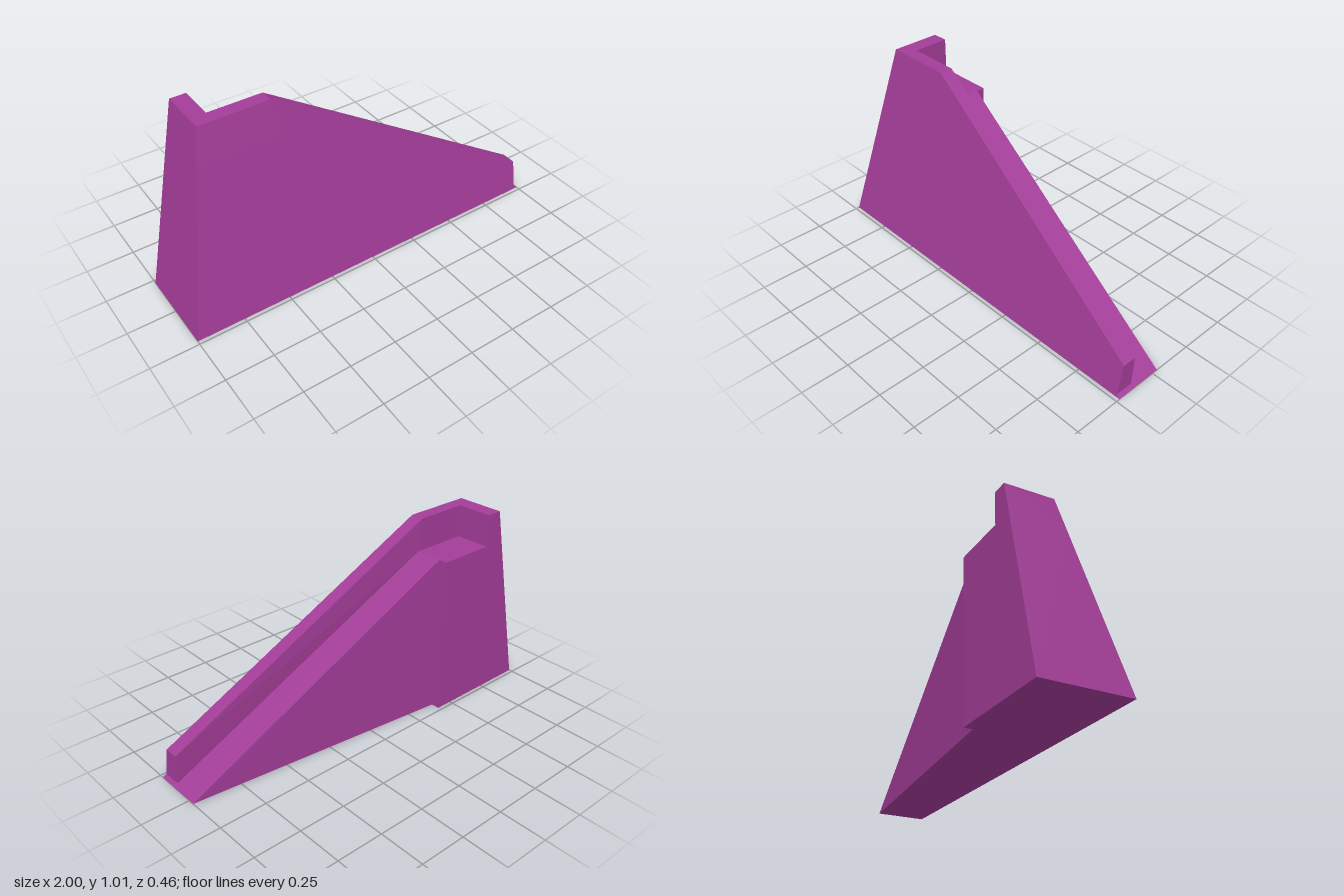
import * as THREE from 'three';
import { ConvexGeometry } from 'three/addons/geometries/ConvexGeometry.js';

// Key heights and stations of the ramped wall
const TOP = 1.015, DECK = 0.845, BACK = -0.23, INNER = -0.04;
const TOWER_X = -0.41, PEAK_X = -0.43, MERLON_X = -0.71, END_X = 0.98;

// Battered (leaning) outer planes: front z and left-hand x at height y
const frontZ = (y) => 0.23 - (0.2 * y) / TOP;
const sideX = (y) => -1 + (0.207 * y) / TOP;

export function createModel() {
  const group = new THREE.Group();
  const purple = new THREE.MeshStandardMaterial({ color: 0xa23c97 });

  const addSolid = (name, corners) => {
    const geometry = new ConvexGeometry(corners.map((c) => new THREE.Vector3(...c)));
    const mesh = new THREE.Mesh(geometry, purple);
    mesh.name = name;
    group.add(mesh);
  };

  // Section spanning front batter to a back z, at a given x and y
  const rib = (x, y, back) => [[x, y, frontZ(y)], [x, y, back]];

  // Tower block carrying the flat platform
  addSolid('towerBase', [
    ...rib(sideX(0), 0, BACK), ...rib(TOWER_X, 0, BACK),
    ...rib(sideX(DECK), DECK, BACK), ...rib(TOWER_X, DECK, BACK),
  ]);

  // Sloping wing tapering to the ground
  addSolid('slopingWing', [
    ...rib(TOWER_X, 0, -0.185), ...rib(TOWER_X, DECK, -0.185), ...rib(1, 0, -0.032),
  ]);

  // Side wall along the platform
  addSolid('sideParapet', [
    ...rib(sideX(DECK), DECK, BACK), ...rib(MERLON_X, DECK, BACK),
    ...rib(sideX(TOP), TOP, BACK), ...rib(MERLON_X, TOP, BACK),
  ]);

  // Front wall of the platform
  addSolid('frontParapet', [
    ...rib(MERLON_X, DECK, INNER), ...rib(TOWER_X, DECK, INNER),
    ...rib(MERLON_X, TOP, INNER), ...rib(PEAK_X, TOP, INNER),
  ]);

  // Front wall following the slope down
  addSolid('slopingParapet', [
    ...rib(TOWER_X, DECK, INNER), ...rib(PEAK_X, TOP, INNER),
    ...rib(END_X, 0.012, 0.13), ...rib(END_X, 0.17, 0.122),
  ]);

  return group;
}
